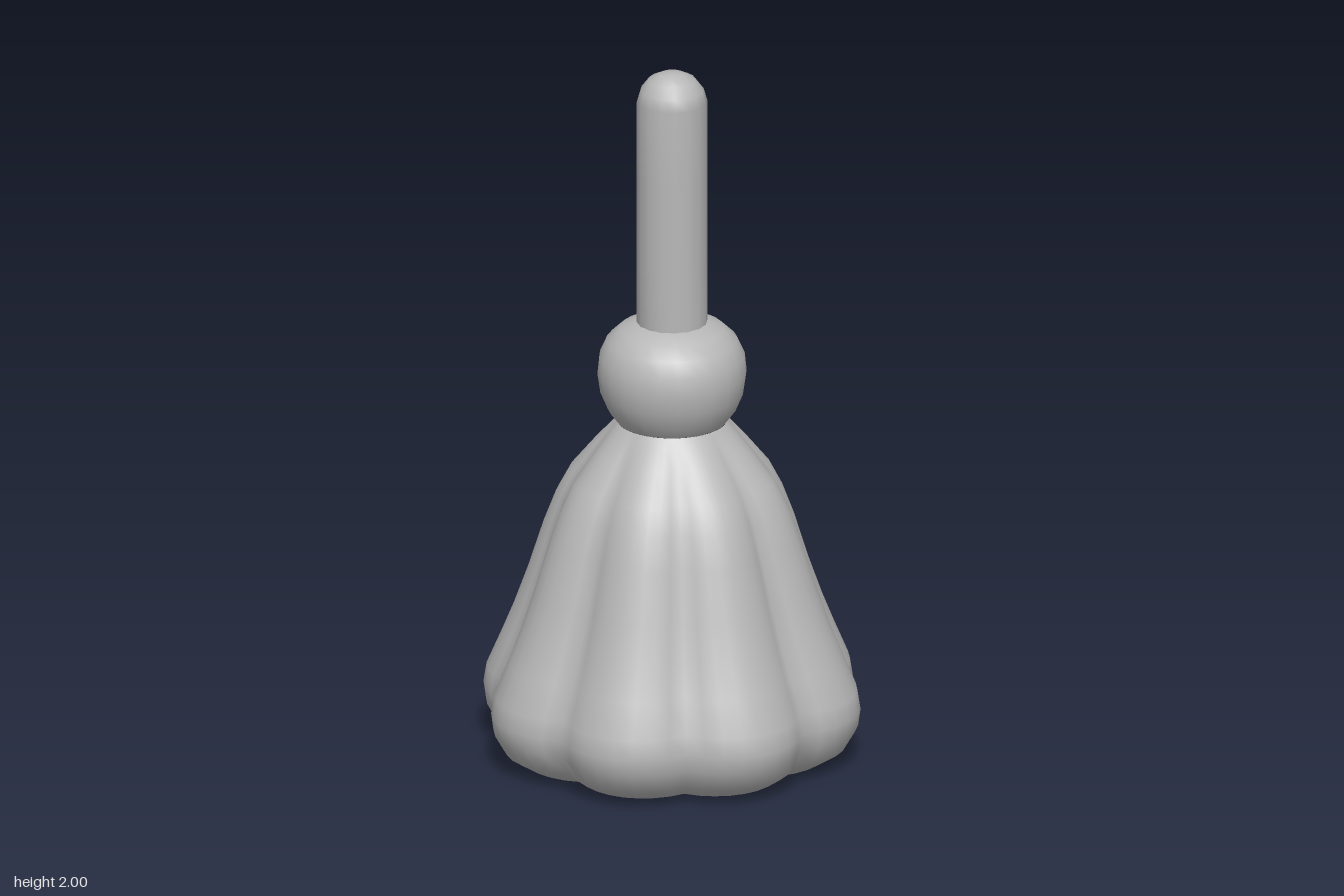
import * as THREE from 'three';
import { mergeVertices } from 'three/addons/utils/BufferGeometryUtils.js';

const grey = new THREE.MeshStandardMaterial({ color: 0xb8b8b8 });
grey.name = 'plain grey';

// Turned part; groove(i) gives the groove depth of profile point i (fraction of radius)
function turned(name, profile, segments, groove) {
  const points = profile.map(([r, y]) => new THREE.Vector2(r, y));
  const lathe = new THREE.LatheGeometry(points, segments);
  const pos = lathe.attributes.position;
  if (groove) {
    for (let i = 0; i < pos.count; i++) {
      const x = pos.getX(i), z = pos.getZ(i);
      const lobe = Math.pow(Math.abs(Math.sin(4 * Math.atan2(x, z))), 0.9);
      const depth = groove(i % profile.length) * (1 - lobe);
      pos.setX(i, x * (1 - depth));
      pos.setZ(i, z * (1 - depth));
    }
  }
  // Weld the seam so the shading runs smoothly round
  lathe.deleteAttribute('normal');
  lathe.deleteAttribute('uv');
  const geometry = mergeVertices(lathe, 1e-4);
  geometry.computeVertexNormals();
  const mesh = new THREE.Mesh(geometry, grey);
  mesh.name = name;
  return mesh;
}

export function createModel() {
  const model = new THREE.Group();
  model.name = 'tasselBroom';

  // Bell-shaped skirt with eight bulging lobes: radius, height, groove depth
  const skirt = [
    [0, 0.008, 0], [0.2, 0.006, 0.03], [0.37, 0, 0.09], [0.44, 0.015, 0.11],
    [0.495, 0.05, 0.115], [0.53, 0.11, 0.115], [0.537, 0.16, 0.115], [0.528, 0.215, 0.115],
    [0.487, 0.31, 0.12], [0.45, 0.4, 0.12], [0.41, 0.51, 0.12], [0.365, 0.65, 0.12],
    [0.33, 0.74, 0.11], [0.29, 0.815, 0.1], [0.22, 0.9, 0.07], [0.175, 0.95, 0.03],
    [0.152, 0.975, 0],
  ];
  model.add(turned('skirt', skirt, 64, (i) => skirt[i][2]));

  // Round knot above the neck
  model.add(turned('knot', [
    [0.152, 0.975], [0.178, 1.01], [0.199, 1.06], [0.207, 1.115], [0.202, 1.165],
    [0.182, 1.21], [0.145, 1.245], [0.09, 1.268], [0, 1.27],
  ], 24));

  // Handle with a rounded tip
  model.add(turned('handle', [
    [0.098, 1.22], [0.098, 1.45], [0.098, 1.7], [0.098, 1.915],
    [0.088, 1.95], [0.065, 1.98], [0.033, 1.996], [0, 2],
  ], 16));

  return model;
}
